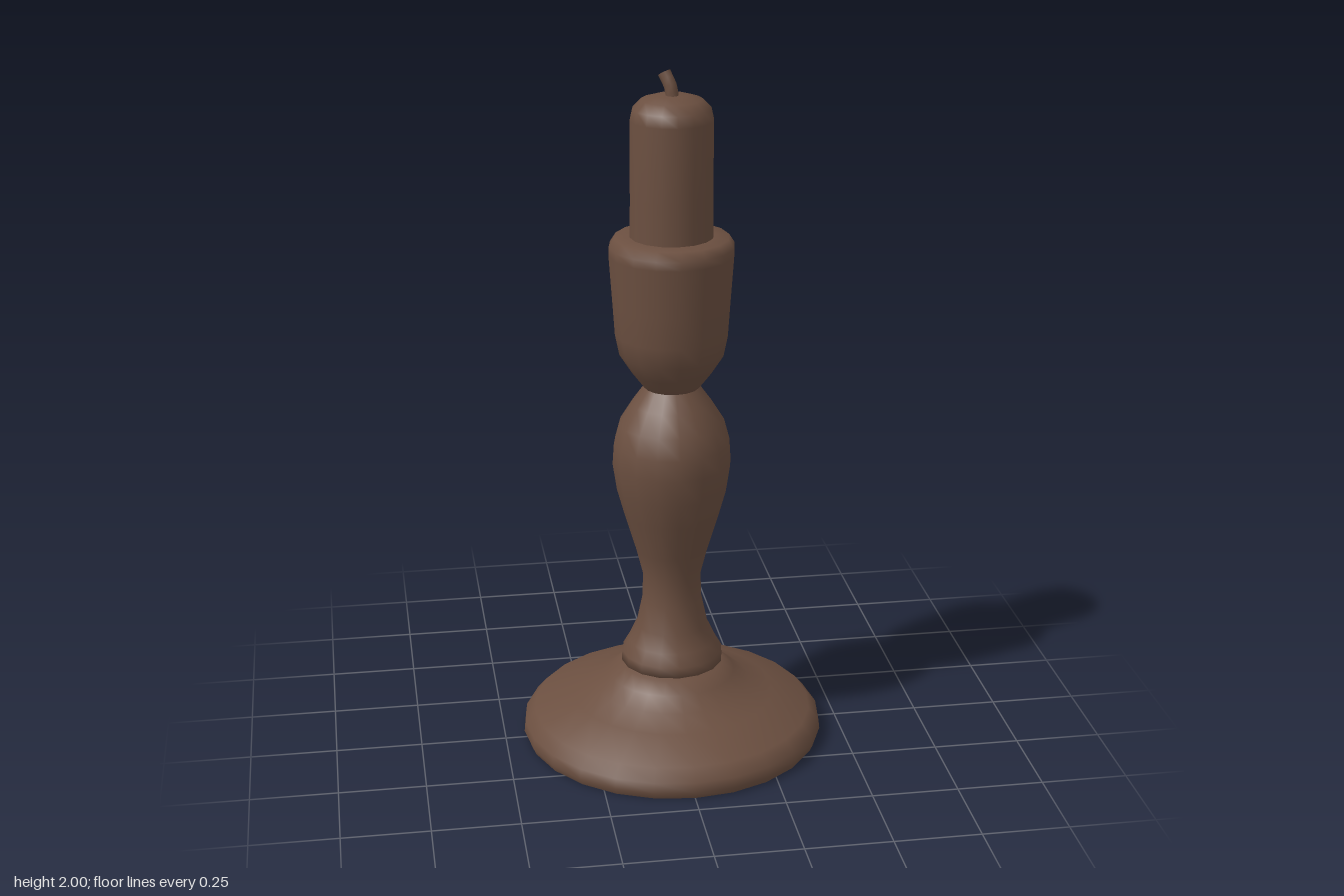
import * as THREE from 'three';

const brown = new THREE.MeshStandardMaterial({ color: 0x6b4f40 });
brown.name = 'brown';

export function createModel() {
  const model = new THREE.Group();
  model.name = 'candlestick';

  const add = (name, geometry) => {
    const mesh = new THREE.Mesh(geometry, brown);
    mesh.name = name;
    model.add(mesh);
    return mesh;
  };

  // Turned part from [radius, height] pairs, listed bottom to top
  const turned = (name, profile, sides) =>
    add(name, new THREE.LatheGeometry(profile.map(([r, y]) => new THREE.Vector2(r, y)), sides));

  // Flared foot with a flat underside
  turned('base', [
    [0.435, 0], [0.444, 0.02], [0.44, 0.05], [0.41, 0.085], [0.3, 0.13],
    [0.23, 0.16], [0.185, 0.195], [0.15, 0.225], [0.1, 0.23],
  ], 24);
  const underside = add('baseUnderside', new THREE.CircleGeometry(0.435, 24));
  underside.rotation.x = Math.PI / 2;

  // Baluster stem: foot ring, narrow neck, bulge and waist
  turned('stem', [
    [0.12, 0.22], [0.15, 0.235], [0.148, 0.265], [0.128, 0.3], [0.105, 0.35],
    [0.088, 0.43], [0.085, 0.51], [0.105, 0.59], [0.138, 0.7], [0.16, 0.78],
    [0.172, 0.86], [0.168, 0.92], [0.152, 0.98], [0.115, 1.04], [0.079, 1.09],
  ], 16);

  // Candle cup with a rounded lip
  turned('cup', [
    [0.079, 1.088], [0.115, 1.135], [0.15, 1.19], [0.162, 1.25], [0.168, 1.34],
    [0.178, 1.48], [0.178, 1.505], [0.162, 1.53], [0.11, 1.532],
  ], 16);

  // Candle with softened, domed top
  turned('candle', [
    [0.118, 1.525], [0.117, 1.65], [0.117, 1.86], [0.11, 1.892],
    [0.085, 1.917], [0.045, 1.929], [0, 1.933],
  ], 16);

  // Short bent wick, capped at its tip
  const wickPath = new THREE.CatmullRomCurve3([
    new THREE.Vector3(0, 1.92, 0.015),
    new THREE.Vector3(-0.005, 1.955, 0.01),
    new THREE.Vector3(-0.02, 1.99, -0.005),
  ]);
  add('wick', new THREE.TubeGeometry(wickPath, 4, 0.018, 8));
  const tip = add('wickTip', new THREE.CircleGeometry(0.018, 8));
  tip.position.copy(wickPath.getPoint(1));
  tip.quaternion.setFromUnitVectors(new THREE.Vector3(0, 0, 1), wickPath.getTangent(1));

  return model;
}
